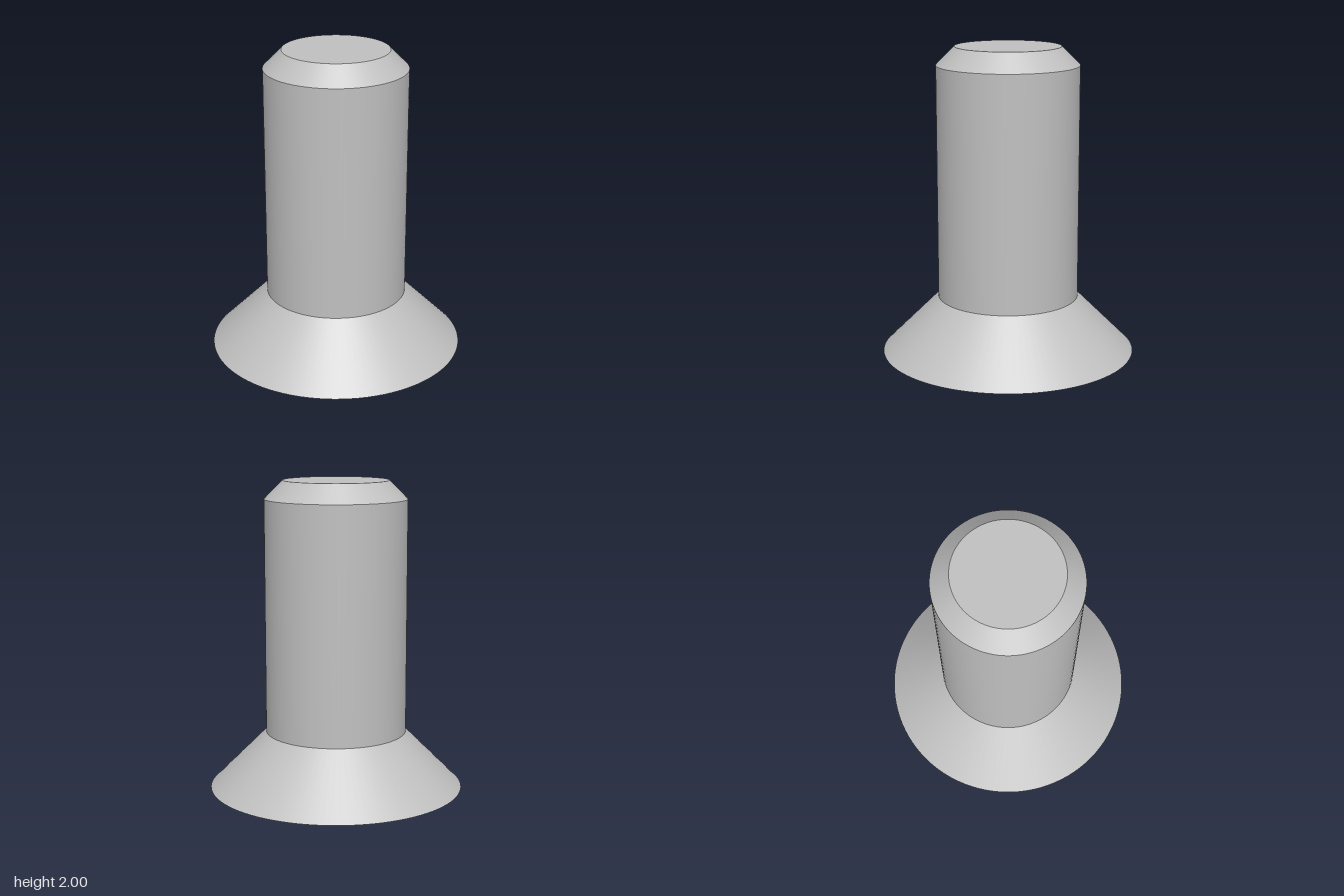
import * as THREE from 'three';

const SEGMENTS = 96;

export function createModel() {
  const model = new THREE.Group();
  model.name = 'countersunkScrew';
  const steel = new THREE.MeshStandardMaterial({ color: 0xc0c0c0 });
  steel.name = 'steel grey';

  // Open round section between two heights; sections meet in sharp edges
  function section(name, bottomRadius, topRadius, y0, y1) {
    const geometry = new THREE.CylinderGeometry(topRadius, bottomRadius, y1 - y0, SEGMENTS, 1, true);
    const mesh = new THREE.Mesh(geometry, steel);
    mesh.name = name;
    mesh.position.y = (y0 + y1) / 2;
    model.add(mesh);
  }

  // Flat disc closing an end, facing up (1) or down (-1)
  function endFace(name, radius, y, facing) {
    const geometry = new THREE.CircleGeometry(radius, SEGMENTS);
    geometry.rotateX(-facing * Math.PI / 2);
    // line the rim up with the section's vertices
    const mesh = new THREE.Mesh(geometry, steel);
    mesh.name = name;
    mesh.position.y = y;
    model.add(mesh);
  }

  endFace('headFace', 0.825, 0, -1);
  section('conicalHead', 0.825, 0.458, 0, 0.368);
  section('shank', 0.458, 0.458, 0.368, 1.882);
  section('tipChamfer', 0.458, 0.34, 1.882, 2);
  endFace('tipFace', 0.34, 2, 1);

  return model;
}
